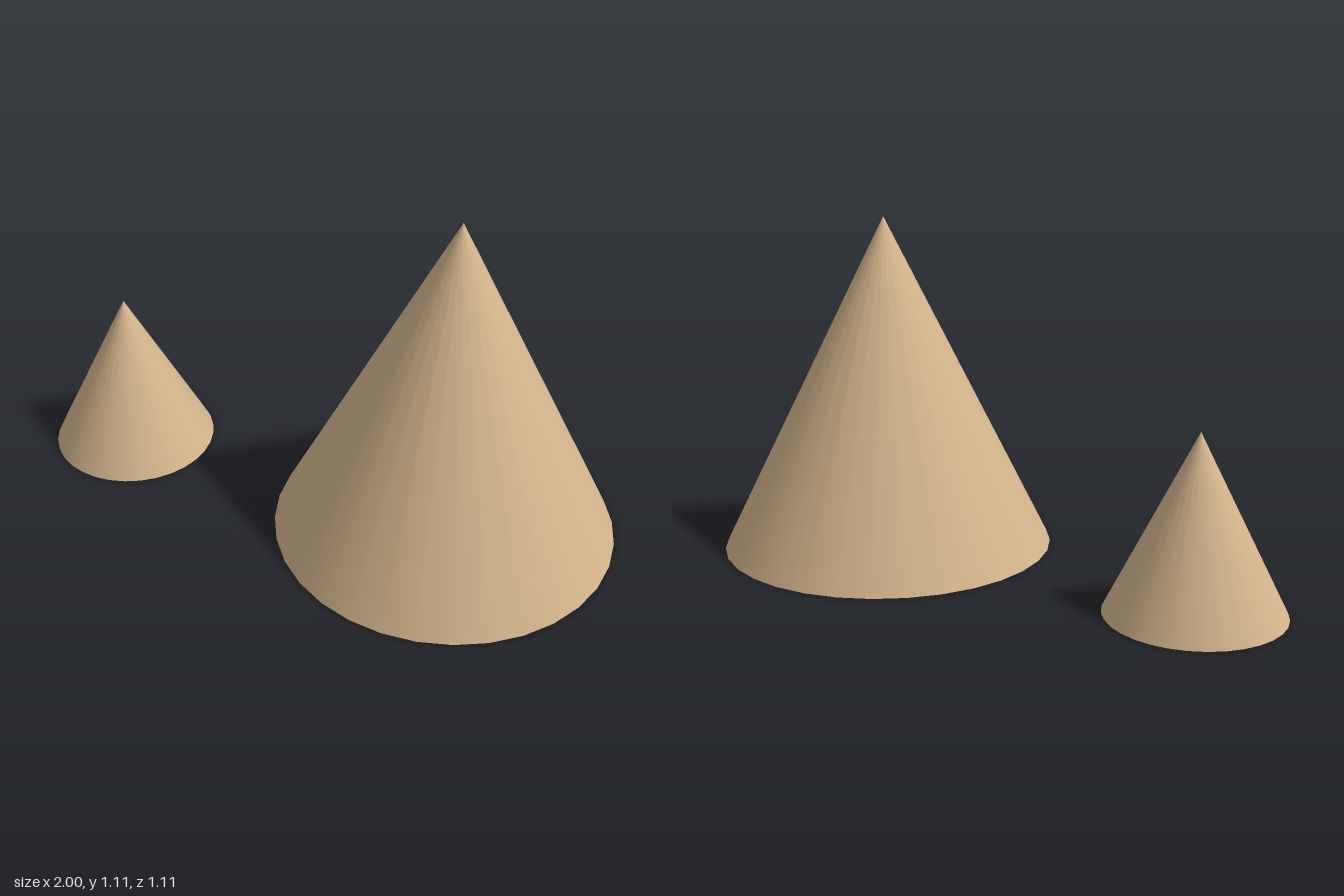
import * as THREE from 'three';

const material = new THREE.MeshStandardMaterial({ color: 0xd2b48c });

// Solid cone standing on the ground, twice as tall as its radius
function cone(name, radius, x) {
  const height = radius * 2;
  const mesh = new THREE.Mesh(new THREE.ConeGeometry(radius, height, 32), material);
  mesh.name = name;
  mesh.position.set(x, height / 2, 0);
  return mesh;
}

export function createModel() {
  const group = new THREE.Group();
  group.name = 'cones';
  group.add(cone('largeCone', 0.5556, 0.4444));
  group.add(cone('smallCone', 0.2778, -0.7222));
  return group;
}
